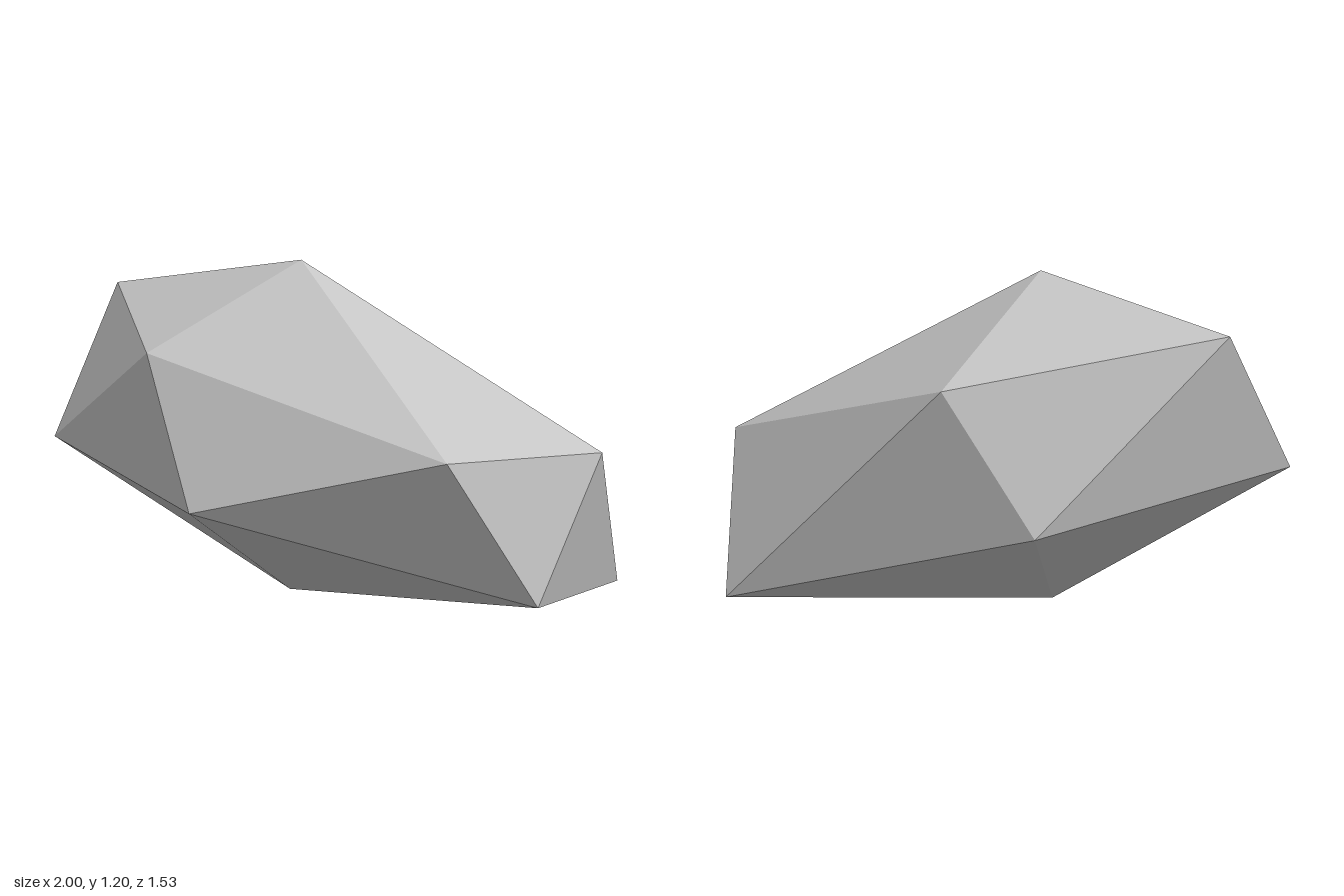
import * as THREE from 'three';

// A faceted rock: a distorted icosahedron made of two poles and two staggered rings of five.
export function createModel() {
  const group = new THREE.Group();
  group.name = 'rock';

  const stone = new THREE.MeshStandardMaterial({ color: 0xc4c4c4 });
  stone.name = 'light stone grey';
  stone.flatShading = true;

  const top = [-0.14, 1.2, -0.1];
  const bottom = [-0.18, 0, -0.11];
  // Rings run counterclockwise seen from above; lower[i] sits between upper[i] and upper[i + 1]
  const upper = [
    [-0.75, 1.045, -0.663], [-0.715, 0.89, 0.05], [0.303, 0.575, 0.763],
    [0.9, 0.557, 0.41], [0.295, 0.86, -0.608],
  ];
  const lower = [
    [-1, 0.52, -0.44], [-0.59, 0.345, 0.34], [0.645, 0.027, 0.637],
    [1, 0.022, -0.05], [-0.025, 0.335, -0.763],
  ];

  // Cap, two side triangles and base for each fifth of the rock
  const points = [];
  for (let i = 0; i < 5; i++) {
    const j = (i + 1) % 5;
    points.push(
      top, upper[i], upper[j],
      upper[i], lower[i], upper[j],
      upper[j], lower[i], lower[j],
      bottom, lower[j], lower[i],
    );
  }

  const geometry = new THREE.BufferGeometry();
  geometry.setAttribute('position', new THREE.Float32BufferAttribute(points.flat(), 3));
  geometry.computeVertexNormals();

  const boulder = new THREE.Mesh(geometry, stone);
  boulder.name = 'boulder';
  group.add(boulder);
  return group;
}
